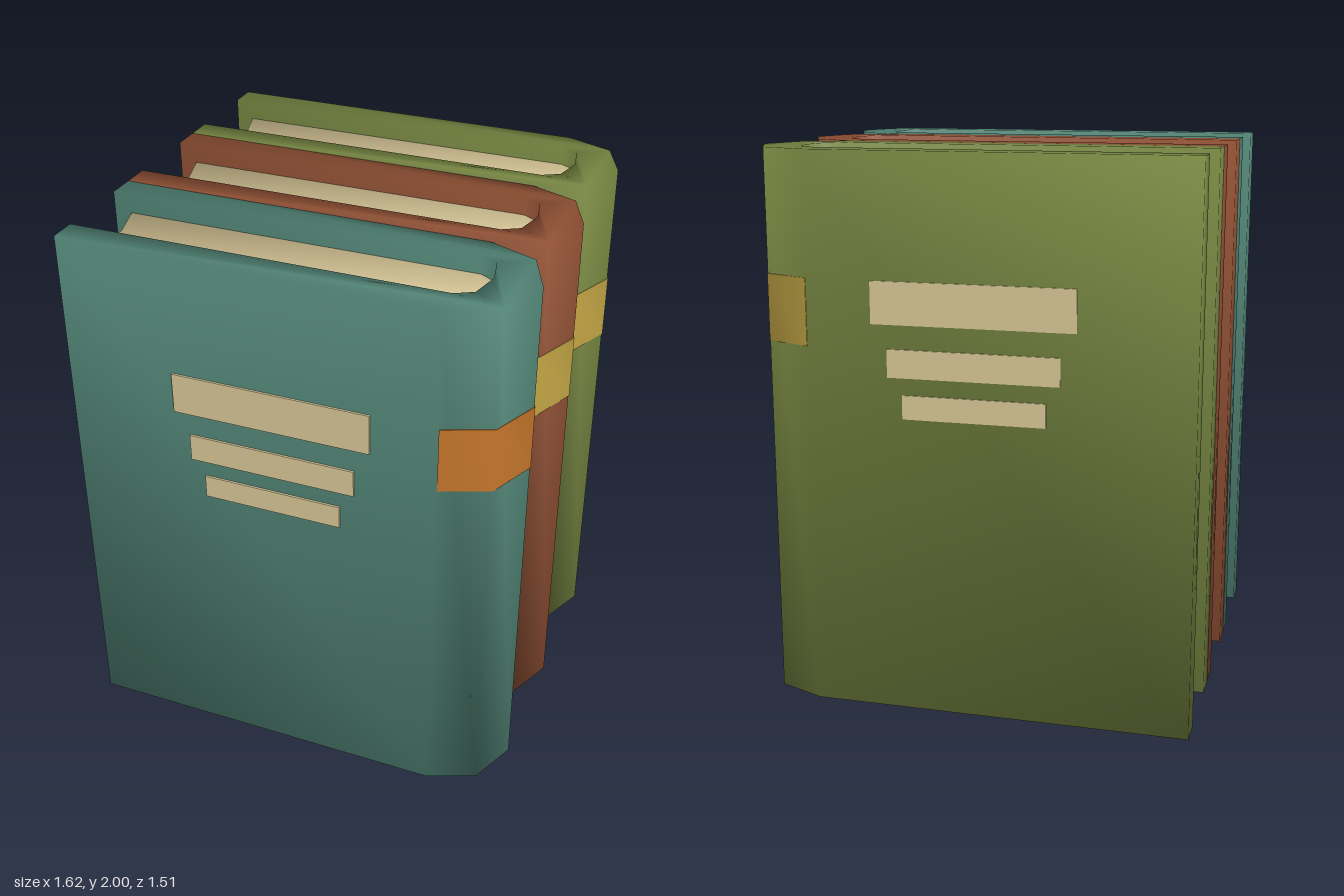
import * as THREE from 'three';
import { toCreasedNormals } from 'three/addons/utils/BufferGeometryUtils.js';

const mat = (name, color) => {
  const m = new THREE.MeshStandardMaterial({ color });
  m.name = name;
  return m;
};

// Half outlines seen from above: [x, half depth], fore edge to spine tip
const OUTER = [[-0.808, 0.248], [0.558, 0.248], [0.732, 0.177], [0.806, 0]];
const INNER = [[-0.808, 0.145], [0.558, 0.145], [0.62, 0.11], [0.645, 0]];
const PAGES = [[-0.70, 0], [-0.742, 0.145], ...INNER.slice(1)];
const BAND = [[0.562, 0.25], [0.733, 0.179], [0.809, 0]];
const BAND_INNER = [[0.562, 0.24], [0.72, 0.17], [0.79, 0]];

// Mirror a half outline that ends on the centre line
const mirrored = (half) => [...half, ...half.slice(0, -1).reverse().map(([x, z]) => [x, -z])];
const ring = (outer, inner) => [...mirrored(outer), ...mirrored(inner).reverse()];

// Upright prism from an outline, shaded smoothly up to the crease angle
function prism(name, points, y0, y1, material, crease) {
  const shape = new THREE.Shape(points.map(([x, z]) => new THREE.Vector2(x, -z)));
  const geo = new THREE.ExtrudeGeometry(shape, { depth: y1 - y0, bevelEnabled: false });
  geo.rotateX(-Math.PI / 2).translate(0, y0, 0);
  const mesh = new THREE.Mesh(toCreasedNormals(geo, crease), material);
  mesh.name = name;
  return mesh;
}

export function createModel() {
  const teal = mat('teal cover', 0x4f8072);
  const brown = mat('brown cover', 0x8c4e32);
  const green = mat('green cover', 0x73823f);
  const orange = mat('orange band', 0xc4752b);
  const gold = mat('gold band', 0xc2a545);
  const cream = mat('cream paper', 0xdccb9a);

  const model = new THREE.Group();
  model.name = 'books';

  const books = [
    { name: 'frontBook', z: 0.493, cover: teal, band: orange, label: 1, lift: 0.008 },
    { name: 'middleBook', z: -0.006, cover: brown, band: gold },
    { name: 'backBook', z: -0.505, cover: green, band: gold, label: -1, lift: 0.004 },
  ];

  // Title lines: left, right, bottom, top
  const lines = [
    [-0.40, 0.325, 1.41, 1.56],
    [-0.345, 0.268, 1.225, 1.325],
    [-0.295, 0.215, 1.08, 1.165],
  ];

  for (const { name, z, cover, band, label, lift } of books) {
    const book = new THREE.Group();
    book.name = name;
    book.position.z = z;
    book.add(
      prism('cover', ring(OUTER, INNER), 0, 2, cover, Math.PI),
      prism('pages', [...PAGES, ...PAGES.slice(1, -1).reverse().map(([x, d]) => [x, -d])], 0.07, 1.93, cream, Math.PI),
      prism('spineBand', ring(BAND, BAND_INNER), 1.32, 1.56, band, 0.9),
    );
    // Thin plates on the outward facing cover
    if (label) {
      for (const [x0, x1, y0, y1] of lines) {
        const plate = new THREE.Mesh(new THREE.BoxGeometry(x1 - x0, y1 - y0, lift), cream);
        plate.name = 'titleLine';
        plate.position.set((x0 + x1) / 2, (y0 + y1) / 2, label * (0.248 + lift / 2));
        book.add(plate);
      }
    }
    model.add(book);
  }
  return model;
}
